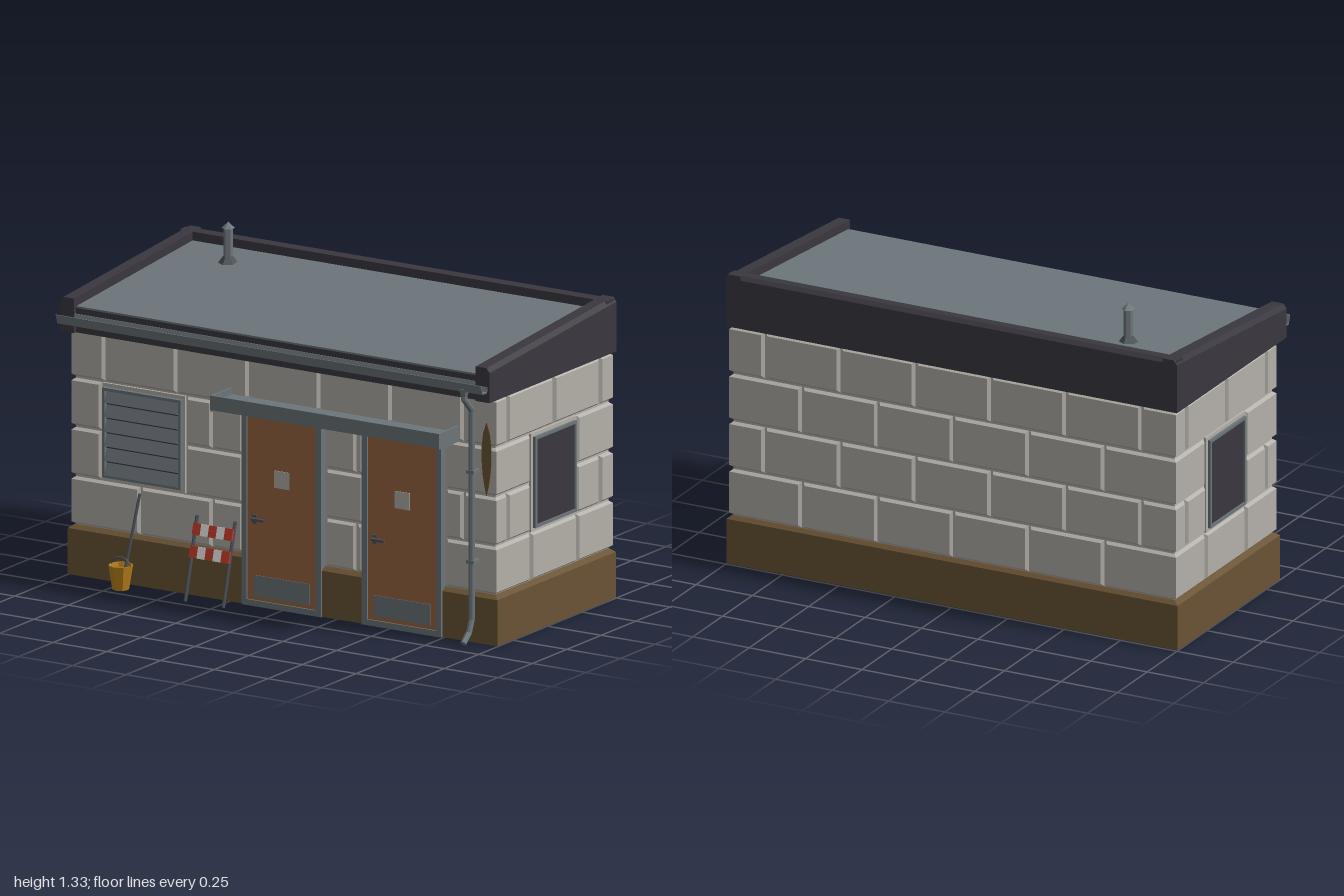
import * as THREE from 'three';

const mat = (name, color) => Object.assign(new THREE.MeshStandardMaterial({ color }), { name });
const M = {
  block: mat('block grey', 0xb4b0aa), plinth: mat('earth brown', 0x6a5334), dark: mat('charcoal', 0x3a383f),
  steel: mat('steel grey', 0x6c757a), door: mat('door brown', 0x98663f), bucket: mat('ochre', 0xb8821c),
  red: mat('red', 0xc03a2a), white: mat('white', 0xe2e2de), iron: mat('iron', 0x4b5157),
};
const V = (x, y, z) => new THREE.Vector3(x, y, z);

// Flat-faced mesh
function add(parent, name, geo, material, x = 0, y = 0, z = 0) {
  const g = geo.index ? geo.toNonIndexed() : geo;
  g.computeVertexNormals();
  const m = new THREE.Mesh(g, material);
  m.name = name;
  m.position.set(x, y, z);
  parent.add(m);
  return m;
}
const box = (p, name, w, h, d, material, x, y, z) => add(p, name, new THREE.BoxGeometry(w, h, d), material, x, y, z);

// Solid between two matching convex rings (counter-clockwise seen from the second)
function loft(a, b) {
  const pos = [], n = a.length;
  const tri = (...t) => t.forEach(v => pos.push(...v));
  for (let i = 0; i < n; i++) {
    const j = (i + 1) % n;
    tri(a[i], a[j], b[j]);
    tri(a[i], b[j], b[i]);
    if (i > 0 && i < n - 1) { tri(b[0], b[i], b[j]); tri(a[0], a[j], a[i]); }
  }
  const g = new THREE.BufferGeometry();
  g.setAttribute('position', new THREE.Float32BufferAttribute(pos, 3));
  return g;
}

// Profile in (z, y) extruded along x from x0 to x1
function alongX(pts, x0, x1) {
  const g = new THREE.ExtrudeGeometry(new THREE.Shape(pts.map(p => new THREE.Vector2(...p))), { depth: x1 - x0, bevelEnabled: false });
  return g.rotateY(-Math.PI / 2).translate(x1, 0, 0);
}

// Rectangular ring of width t
function frame(w, h, t, depth) {
  const rect = (S, a, b) => new S([[-a, -b], [a, -b], [a, b], [-a, b]].map(p => new THREE.Vector2(...p)));
  const s = rect(THREE.Shape, w / 2, h / 2);
  s.holes.push(rect(THREE.Path, w / 2 - t, h / 2 - t));
  return new THREE.ExtrudeGeometry(s, { depth, bevelEnabled: false });
}

// Straight rod between two points
function rod(p, name, a, b, r, n, material) {
  const d = b.clone().sub(a);
  const m = add(p, name, new THREE.CylinderGeometry(r, r, d.length(), n), material);
  m.position.copy(a).add(b).multiplyScalar(0.5);
  m.quaternion.setFromUnitVectors(V(0, 1, 0), d.normalize());
}

// One course-by-course block facing; u runs along the wall, holes are [u0, u1, v0, v1]
const D = 0.013;
function wall(root, name, uMin, uMax, joints, holes) {
  const g = new THREE.Group();
  g.name = name;
  root.add(g);
  for (let c = 0; c < 4; c++) {
    const v0 = 0.2 + c * 0.2, v1 = v0 + 0.2;
    const edges = [uMin, ...joints[c % 2], uMax];
    for (let i = 0; i < edges.length - 1; i++) {
      let spans = [[edges[i], edges[i + 1]]];
      for (const [h0, h1, hv0, hv1] of holes) {
        if (hv1 < v0 + 0.01 || hv0 > v1 - 0.01) continue;
        spans = spans.flatMap(([a, b]) => h1 <= a || h0 >= b ? [[a, b]] : [[a, h0], [h1, b]].filter(s => s[1] - s[0] > 0.02));
      }
      for (const [a, b] of spans) {
        const gap = 0.004, bev = 0.01;
        const l = a === uMin, r = b === uMax;
        const a0 = l ? a : a + gap, b0 = r ? b : b - gap;
        const a1 = l ? a - D : a0 + bev, b1 = r ? b + D : b0 - bev;
        const ring = (s, e, q, z) => [[s, v0 + q, z], [e, v0 + q, z], [e, v1 - q, z], [s, v1 - q, z]];
        add(g, 'wallBlock', loft(ring(a0, b0, gap, 0), ring(a1, b1, gap + bev, D)), M.block);
      }
    }
  }
  return g;
}

function makeWalls(root) {
  // Plinth with sloped top edge
  const ring = (x, zf, zb, y) => [[-x, y, zf], [x, y, zf], [x, y, zb], [-x, y, zb]];
  add(root, 'plinth', loft(ring(1, 0.365, -0.495, 0), ring(1, 0.365, -0.495, 0.187)), M.plinth);
  add(root, 'plinthTop', loft(ring(1, 0.365, -0.495, 0.187), ring(0.98, 0.345, -0.48, 0.202)), M.plinth);
  box(root, 'wallCore', 1.954, 0.82, 0.819, M.block, 0, 0.6, -0.0675);
  // Block courses
  const long = [[-0.67, -0.335, 0, 0.335, 0.67], [-0.835, -0.5, -0.167, 0.167, 0.5, 0.835]];
  const front = wall(root, 'frontWall', -0.977, 0.977, long,
    [[-0.85, -0.46, 0.4, 0.8], [-0.19, 0.19, 0, 0.8], [0.37, 0.75, 0, 0.8]]);
  front.position.z = 0.342;
  const back = wall(root, 'backWall', -0.977, 0.977, long, []);
  back.position.z = -0.477;
  back.rotation.y = Math.PI;
  for (const s of [1, -1]) {
    const flip = a => s > 0 ? a.map(z => -z) : [...a].reverse();
    const [u0, u1] = flip([0.342, -0.477]), [h0, h1] = flip([0.1, -0.23]);
    const g = wall(root, s > 0 ? 'leftWall' : 'rightWall', u0, u1,
      [flip([0.1, -0.235]), flip([0.27, -0.065, -0.4])], [[h0, h1, 0.4, 0.8]]);
    g.position.x = s * 0.977;
    g.rotation.y = s * Math.PI / 2;
    // Window
    const u = s * 0.065;
    box(g, 'windowSurround', 0.33, 0.4, 0.01, M.block, u, 0.6, 0.005);
    add(g, 'windowFrame', frame(0.3, 0.37, 0.012, 0.022), M.steel, u, 0.6, 0);
    box(g, 'windowPane', 0.28, 0.35, 0.008, M.dark, u, 0.6, 0.012);
  }
}

function makeRoof(root) {
  const h = z => 1.14 + (0.42 - z) * 0.087;
  // Side parapets with chamfered outer edge
  for (const s of [1, -1]) {
    const ring = z => {
      const r = [[0.935, 1], [1, 1], [1, h(z) - 0.018], [0.985, h(z)], [0.935, h(z)]].map(([x, y]) => [s * x, y, z]);
      return s > 0 ? r : r.reverse();
    };
    add(root, 'sideParapet', loft(ring(-0.5), ring(0.42)), M.dark);
  }
  const back = x => [[x, 1, -0.5], [x, 1.203, -0.5], [x, 1.218, -0.485], [x, 1.215, -0.44], [x, 1, -0.44]];
  add(root, 'backParapet', loft(back(-0.995), back(0.995)), M.dark);
  // Sloping deck
  const slab = (z, lo, hi) => [[-0.936, lo, z], [0.936, lo, z], [0.936, hi, z], [-0.936, hi, z]];
  const top = z => h(z) - 0.042;
  add(root, 'roofDeck', loft(slab(-0.45, 1, top(-0.45)), slab(0.405, 1, top(0.405))), M.dark);
  add(root, 'roofSheet', loft(slab(-0.445, top(-0.445), top(-0.445) + 0.007), slab(0.403, top(0.403), top(0.403) + 0.007)), M.steel);
  // Flue
  const y = top(-0.285);
  add(root, 'flueFlange', new THREE.CylinderGeometry(0.02, 0.045, 0.035, 6), M.iron, -0.67, y + 0.015, -0.285);
  add(root, 'fluePipe', new THREE.CylinderGeometry(0.018, 0.018, 0.16, 6), M.steel, -0.67, y + 0.07, -0.285);
  add(root, 'flueCap', new THREE.ConeGeometry(0.027, 0.025, 6), M.steel, -0.67, 1.318, -0.285);
  // Gutter and downpipe
  add(root, 'gutter', alongX([[0.424, 1.04], [0.456, 1.04], [0.469, 1.078], [0.465, 1.078], [0.453, 1.045], [0.427, 1.045], [0.415, 1.078], [0.411, 1.078]], -0.99, 0.99), M.steel);
  const x = 0.897;
  add(root, 'downpipeFunnel', new THREE.CylinderGeometry(0.021, 0.014, 0.03, 8), M.steel, x, 1.035, 0.444);
  const path = [V(x, 1.04, 0.444), V(x, 1.005, 0.444), V(x, 0.95, 0.39), V(x, 0.1, 0.39), V(x, 0.05, 0.41), V(x, 0.015, 0.45)];
  for (let i = 0; i < path.length - 1; i++) {
    rod(root, 'downpipe', path[i], path[i + 1], 0.0125, 8, M.steel);
    if (i) add(root, 'downpipeElbow', new THREE.SphereGeometry(0.0127, 8, 6), M.steel, ...path[i]);
  }
  for (const by of [0.7, 0.335]) box(root, 'pipeBracket', 0.034, 0.014, 0.05, M.steel, x, by, 0.378);
}

function makeFront(root) {
  // Doors
  for (const x of [0, 0.56]) {
    const g = new THREE.Group();
    g.name = 'door';
    g.position.x = x;
    root.add(g);
    add(g, 'doorFrame', frame(0.37, 0.8, 0.024, 0.035), M.steel, 0, 0.4, 0.34);
    box(g, 'doorLeaf', 0.33, 0.77, 0.03, M.door, 0, 0.4, 0.353);
    box(g, 'kickPlate', 0.26, 0.085, 0.004, M.steel, 0, 0.083, 0.369);
    box(g, 'doorNotice', 0.07, 0.07, 0.003, M.block, 0, 0.528, 0.369);
    box(g, 'handlePlate', 0.02, 0.035, 0.008, M.iron, -0.125, 0.353, 0.371);
    box(g, 'handleStem', 0.01, 0.01, 0.024, M.iron, -0.125, 0.356, 0.38);
    box(g, 'handleLever', 0.06, 0.01, 0.009, M.iron, -0.1, 0.356, 0.39);
  }
  // Canopy tray
  add(root, 'canopy', alongX([[0.345, 0.807], [0.5, 0.807], [0.5, 0.866], [0.49, 0.866], [0.49, 0.84], [0.345, 0.84]], -0.25, 0.815), M.steel);
  for (const x of [-0.245, 0.81]) box(root, 'canopyEnd', 0.01, 0.064, 0.154, M.steel, x, 0.834, 0.422);
  // Louvred vent
  box(root, 'ventSurround', 0.385, 0.395, 0.01, M.block, -0.655, 0.6, 0.347);
  box(root, 'ventBack', 0.35, 0.35, 0.004, M.dark, -0.655, 0.6, 0.353);
  add(root, 'ventFrame', frame(0.365, 0.365, 0.012, 0.024), M.steel, -0.655, 0.6, 0.345);
  for (let i = 0; i < 6; i++) {
    box(root, 'ventSlat', 0.342, 0.052, 0.004, M.steel, -0.655, 0.452 + i * 0.059, 0.362).rotation.x = -0.35;
  }
  // Rust streak
  const s = new THREE.Shape();
  s.moveTo(0, -0.15);
  s.bezierCurveTo(0.02, -0.09, 0.04, 0.07, 0, 0.15);
  s.bezierCurveTo(-0.04, 0.07, -0.02, -0.09, 0, -0.15);
  add(root, 'rustStreak', new THREE.ExtrudeGeometry(s, { depth: 0.003, bevelEnabled: false, curveSegments: 6 }), M.plinth, 0.945, 0.75, 0.355);
}

function makeProps(root) {
  // Bucket with handle and broomstick
  const pts = [[0, 0], [0.034, 0], [0.05, 0.098], [0.044, 0.098], [0.03, 0.01], [0, 0.01]].map(p => new THREE.Vector2(...p));
  add(root, 'bucket', new THREE.LatheGeometry(pts, 8), M.bucket, -0.705, 0, 0.44);
  const bail = add(root, 'bucketHandle', new THREE.TorusGeometry(0.045, 0.003, 4, 10, Math.PI), M.iron, -0.705, 0.094, 0.44);
  bail.scale.y = 0.8;
  rod(root, 'stick', V(-0.695, 0.02, 0.444), V(-0.665, 0.375, 0.363), 0.006, 6, M.iron);
  // Leaning striped barrier
  for (const x of [-0.392, -0.215]) rod(root, 'barrierLeg', V(x, 0, 0.46), V(x, 0.33, 0.372), 0.007, 6, M.iron);
  for (const y of [0.28, 0.193]) {
    for (let i = 0; i < 5; i++) {
      box(root, 'barrierStripe', 0.037, 0.047, 0.01, i % 2 ? M.white : M.red, -0.3035 + (i - 2) * 0.037, y, 0.471 - y * 0.267).rotation.x = -0.26;
    }
  }
}

export function createModel() {
  const root = new THREE.Group();
  root.name = 'utilityBuilding';
  makeWalls(root);
  makeRoof(root);
  makeFront(root);
  makeProps(root);
  return root;
}
